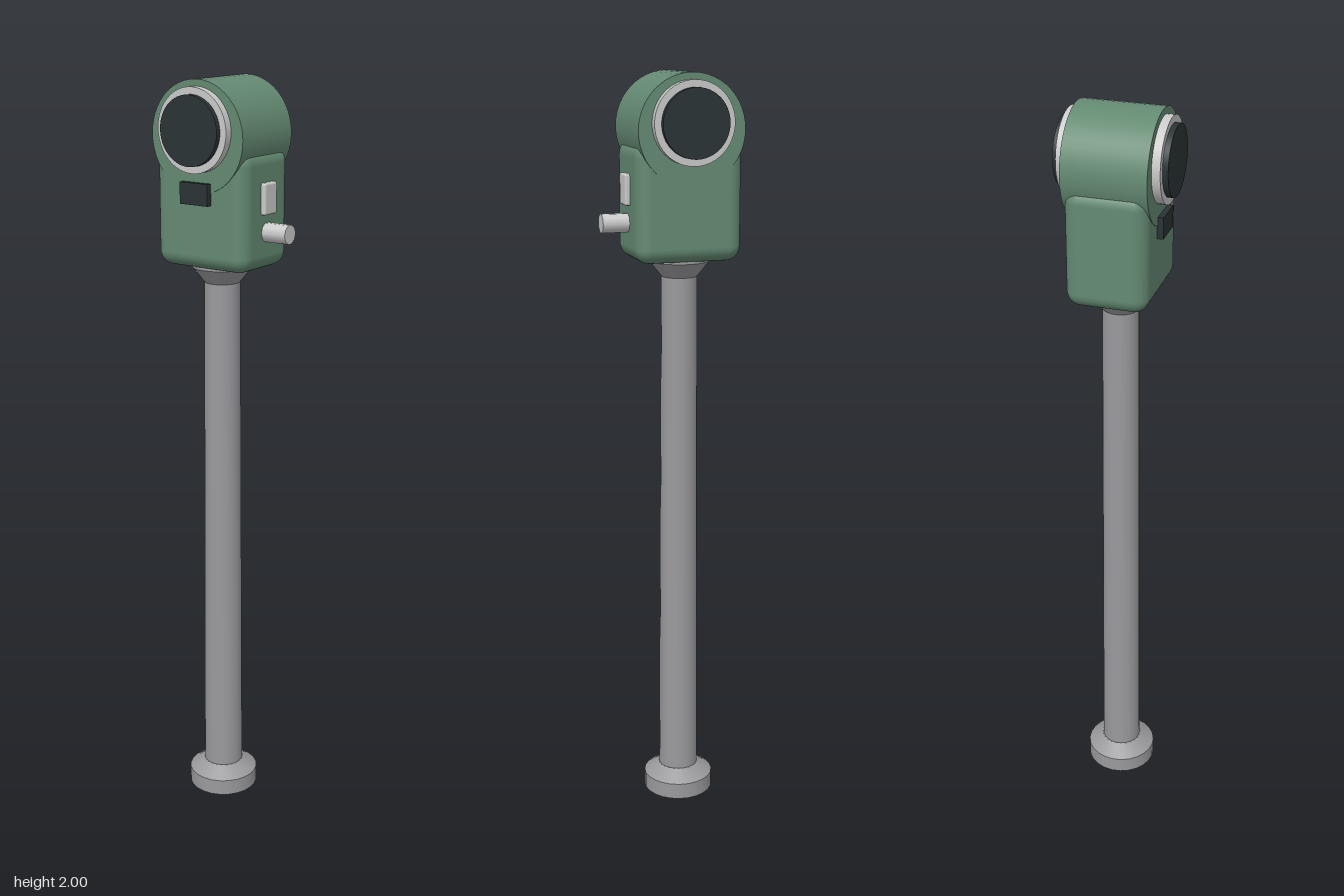
import * as THREE from 'three';
import { RoundedBoxGeometry } from 'three/addons/geometries/RoundedBoxGeometry.js';
import { toCreasedNormals } from 'three/addons/utils/BufferGeometryUtils.js';

const material = (name, color) => {
  const m = new THREE.MeshStandardMaterial({ color });
  m.name = name;
  return m;
};

export function createModel() {
  const green = material('green paint', 0x648a72);
  const steel = material('grey steel', 0x9a999c);
  const silver = material('silver', 0xcacaca);
  const dark = material('dark glass', 0x2b3335);

  const model = new THREE.Group();
  model.name = 'parkingMeter';
  const meter = new THREE.Group();
  meter.name = 'meter';
  meter.position.x = -0.035; // the side knob shifts the post off centre
  model.add(meter);

  const add = (name, geometry, mat, x, y, z) => {
    const mesh = new THREE.Mesh(geometry, mat);
    mesh.name = name;
    mesh.position.set(x, y, z);
    meter.add(mesh);
    return mesh;
  };
  const disc = (r, length, sides = 48) =>
    new THREE.CylinderGeometry(r, r, length, sides).rotateX(Math.PI / 2);
  const turned = (points) => toCreasedNormals(
    new THREE.LatheGeometry(points.map(([r, y]) => new THREE.Vector2(r, y)), 24), 0.5);

  // Post: flanged foot, tapered pole, flared collar
  add('foot', turned([[0, 0], [0.096, 0], [0.096, 0.045], [0.056, 0.073], [0, 0.073]]), steel, 0, 0, 0);
  add('pole', turned([[0.054, 0.06], [0.047, 1.5]]), steel, 0, 0, 0);
  add('collar', turned([[0.046, 1.48], [0.08, 1.522], [0.08, 1.54], [0, 1.54]]), steel, 0, 0, 0);

  // Head: rounded housing under a drum lying front to back
  add('housing', new RoundedBoxGeometry(0.28, 0.304, 0.208, 5, 0.038), green, 0, 1.679, 0);
  add('drum', disc(0.14, 0.212), green, 0, 1.86, 0);

  // Dials on both faces
  for (const side of [1, -1]) {
    add('dialRim', disc(0.105, 0.026), silver, 0, 1.878, side * 0.114);
    add('dialGlass', disc(0.087, 0.026), dark, 0, 1.878, side * 0.128);
  }

  // Front label, and coin plate and knob on the left side
  add('frontLabel', new THREE.BoxGeometry(0.086, 0.055, 0.022), dark, -0.001, 1.722, 0.109);
  add('coinPlate', new RoundedBoxGeometry(0.024, 0.08, 0.054, 2, 0.006), silver, 0.141, 1.71, 0);
  add('knob', new THREE.CylinderGeometry(0.025, 0.025, 0.08, 10).rotateZ(Math.PI / 2), silver, 0.17, 1.625, 0);

  return model;
}
